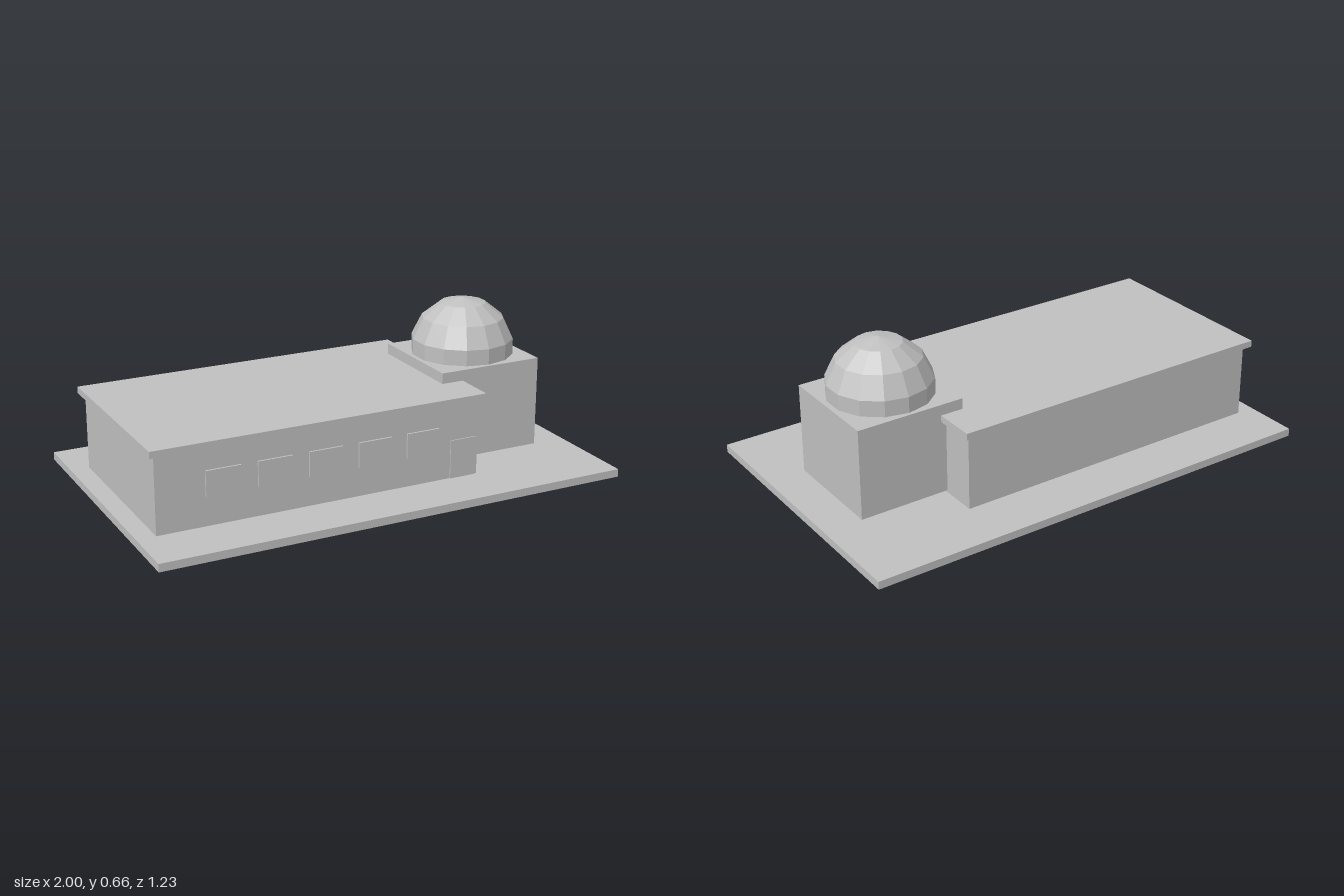
import * as THREE from 'three';

export function createModel() {
  const model = new THREE.Group();
  const grey = new THREE.MeshStandardMaterial({ color: 0xc0c0c0, flatShading: true, side: THREE.DoubleSide });
  grey.name = 'plain grey';

  function add(name, geometry) {
    const mesh = new THREE.Mesh(geometry, grey);
    mesh.name = name;
    model.add(mesh);
    return mesh;
  }

  // Box given by its limits on each axis
  function box(name, x0, x1, y0, y1, z0, z1) {
    const mesh = add(name, new THREE.BoxGeometry(x1 - x0, y1 - y0, z1 - z0));
    mesh.position.set((x0 + x1) / 2, (y0 + y1) / 2, (z0 + z1) / 2);
    return mesh;
  }

  // Ground slab: a shallow tray, open underneath
  const slab = box('groundSlab', -1, 1, 0, 0.033, -0.613, 0.613).geometry;
  const index = Array.from(slab.index.array);
  index.splice(18, 6);
  slab.setIndex(index);
  slab.clearGroups();

  // Long hall with an overhanging flat roof
  box('hall', -0.922, 0.46, 0.031, 0.352, -0.383, 0.385);
  box('hallRoof', -0.945, 0.482, 0.35, 0.378, -0.408, 0.408);

  // Square tower, floating just above the slab
  box('tower', 0.385, 0.845, 0.042, 0.423, -0.229, 0.229);

  // Faceted dome: upper part of a coarse sphere with corners on the z axis
  const dome = add('dome', new THREE.SphereGeometry(0.22, 14, 4, Math.PI / 2, Math.PI * 2, 0, Math.PI * 4 / 7));
  dome.position.set(0.613, 0.44, 0);

  // Raised windows and door on the front wall
  for (let i = 0; i < 5; i++) {
    const x = -0.65 + i * 0.214;
    box('window' + (i + 1), x - 0.072, x + 0.072, 0.155, 0.258, 0.384, 0.393);
  }
  box('door', 0.335, 0.45, 0.025, 0.195, 0.384, 0.39);

  // Small post ends showing under the slab
  for (let i = 0; i < 3; i++) {
    const post = add('post' + (i + 1), new THREE.CylinderGeometry(0.011, 0.011, 0.1, 8));
    post.position.set(0.07 - i * 0.386, 0.077, -0.3);
  }

  return model;
}
